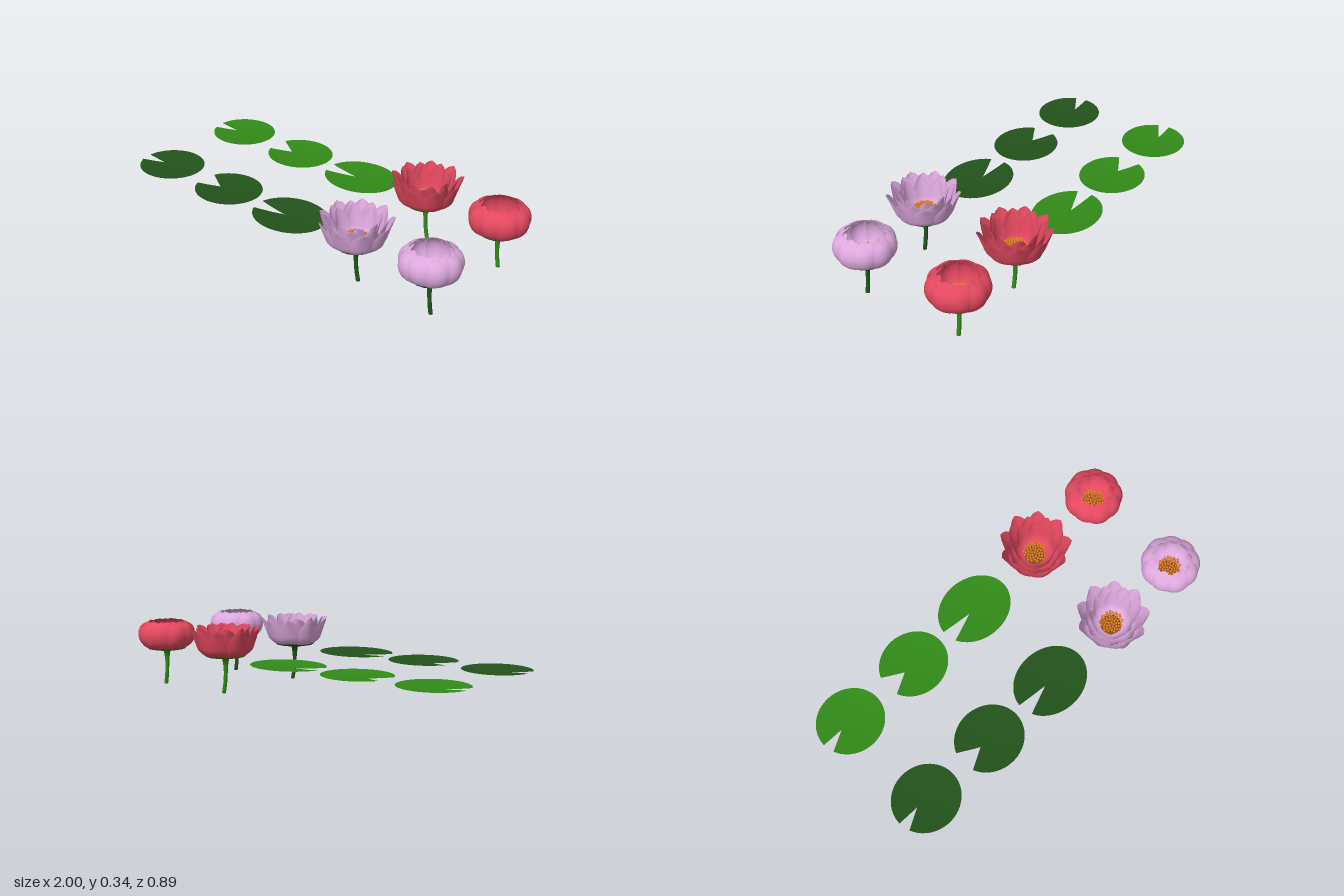
import * as THREE from 'three';

const mat = (color, double) => {
  const m = new THREE.MeshStandardMaterial({ color });
  if (double) m.side = THREE.DoubleSide;
  return m;
};

// Smooth surface from a rule f(s, t) -> [x, y, z], with s and t in 0..1
function surface(ns, nt, f) {
  const pos = [], idx = [];
  for (let j = 0; j <= nt; j++)
    for (let i = 0; i <= ns; i++) pos.push(...f(i / ns, j / nt));
  for (let j = 0; j < nt; j++)
    for (let i = 0; i < ns; i++) {
      const a = j * (ns + 1) + i, b = a + 1, c = a + ns + 1, d = c + 1;
      idx.push(a, c, b, b, c, d);
    }
  const g = new THREE.BufferGeometry();
  g.setAttribute('position', new THREE.Float32BufferAttribute(pos, 3));
  g.setIndex(idx);
  g.computeVertexNormals();
  return g;
}

function add(parent, name, geometry, material) {
  const m = new THREE.Mesh(geometry, material);
  m.name = name;
  parent.add(m);
  return m;
}

// Shallow dished leaf; the notch opens toward -x between angles lo and hi
function padGeometry({ rx, rz, tip, lo, hi }) {
  return surface(64, 10, (s, t) => {
    const a = hi + s * (Math.PI * 2 + lo - hi);
    const x = THREE.MathUtils.lerp(tip, -rx * Math.cos(a), t);
    const z = rz * Math.sin(a) * t;
    const d2 = (x / rx) ** 2 + (z / rz) ** 2;
    return [x, 0.178 + 0.01 * d2, z];
  });
}

// Petal along a radius/height profile, cupped around the flower's axis
function petalGeometry(profile, halfWidth, scaleR, scaleY) {
  const curve = new THREE.SplineCurve(profile.map(([r, y]) => new THREE.Vector2(r * scaleR, y * scaleY)));
  return surface(8, 14, (s, t) => {
    const u = s * 2 - 1, p = curve.getPoint(t);
    const w = halfWidth * Math.min(1, 0.35 + 1.1 * t) * Math.pow(1 - t ** 4, 0.75);
    const cup = 0.35 * w * u * u * Math.min(1, t * 2);
    return [u * w, p.y + cup * 0.12, p.x - cup];
  });
}

const openProfile = [[0.02, 0], [0.09, 0.004], [0.135, 0.03], [0.154, 0.075], [0.168, 0.115], [0.183, 0.152]];
const closedProfile = [[0.02, 0], [0.09, 0.004], [0.134, 0.03], [0.15, 0.078], [0.137, 0.125], [0.1, 0.149]];

// Rings: petal count, half width, radius scale, height scale, lift
const openRings = [
  [9, 0.064, 1, 0.96, 0],
  [9, 0.056, 0.84, 0.98, 0.002],
  [8, 0.047, 0.66, 0.97, 0.004],
];
const closedRings = [
  [9, 0.06, 1, 0.95, 0],
  [9, 0.053, 0.9, 0.98, 0.001],
  [9, 0.044, 0.78, 0.97, 0.003],
];

function flower(name, profile, rings, petalMat, greenMat, bend) {
  const g = new THREE.Group();
  g.name = name;

  // Curved stem and its flared top
  const path = new THREE.CatmullRomCurve3([
    new THREE.Vector3(bend, 0, 0), new THREE.Vector3(bend * 0.35, 0.05, 0),
    new THREE.Vector3(0, 0.11, 0), new THREE.Vector3(0, 0.18, 0),
  ]);
  add(g, 'stem', new THREE.TubeGeometry(path, 16, 0.01, 10), greenMat);
  const base = new THREE.CircleGeometry(0.01, 10).rotateX(Math.PI / 2).translate(bend, 0.001, 0);
  add(g, 'stemEnd', base, greenMat);
  const flare = [[0.0095, 0.1], [0.012, 0.14], [0.017, 0.175], [0.05, 0.181], [0.098, 0.19], [0.108, 0.2]];
  add(g, 'calyx', new THREE.LatheGeometry(flare.map(p => new THREE.Vector2(...p)), 18), greenMat);

  // Overlapping rings of petals
  rings.forEach(([n, w, sr, sy, lift], k) => {
    const geo = petalGeometry(profile, w, sr, sy);
    for (let i = 0; i < n; i++) {
      const petal = add(g, 'petal', geo, petalMat);
      petal.position.y = 0.188 + lift + 0.003 * (i % 2);
      petal.rotation.y = ((i + k * 0.5) / n) * Math.PI * 2 + Math.PI / 2;
      petal.scale.setScalar(i % 2 ? 0.985 : 1);
    }
  });

  // Domed heart covered in stamens
  const heart = add(g, 'heart', new THREE.SphereGeometry(1, 20, 10, 0, Math.PI * 2, 0, Math.PI / 2), mat(0x8a4a14));
  heart.scale.set(0.052, 0.04, 0.052);
  heart.position.y = 0.192;
  const stamenMat = mat(0xe07f22);
  const headGeo = new THREE.SphereGeometry(0.0062, 8, 6);
  const stalkGeo = new THREE.CylinderGeometry(0.002, 0.002, 0.03, 5);
  const count = 56;
  for (let i = 0; i < count; i++) {
    const a = i * 2.39996, r = 0.058 * Math.sqrt((i + 0.5) / count);
    const y = 0.25 - 5 * r * r;
    add(g, 'stamenHead', headGeo, stamenMat).position.set(r * Math.cos(a), y, r * Math.sin(a));
    add(g, 'stamenStalk', stalkGeo, stamenMat).position.set(r * Math.cos(a), y - 0.015, r * Math.sin(a));
  }
  return g;
}

export function createModel() {
  const model = new THREE.Group();
  model.name = 'waterLilies';
  const pads = [
    { x: -0.828, rx: 0.172, rz: 0.162, tip: -0.06, lo: 0.0, hi: 0.36 },
    { x: -0.411, rx: 0.177, rz: 0.162, tip: -0.06, lo: -0.37, hi: 0.36 },
    { x: 0.005, rx: 0.198, rz: 0.162, tip: -0.035, lo: -0.1, hi: 0.36 },
  ];
  // Two matching rows in different colours
  const rows = [
    { name: 'backRow', z: -0.27, green: 0x328a18, petal: 0xe2485f },
    { name: 'frontRow', z: 0.264, green: 0x22521a, petal: 0xdda8dd },
  ];
  for (const row of rows) {
    const g = new THREE.Group();
    g.name = row.name;
    g.position.z = row.z;
    const green = mat(row.green, true), petal = mat(row.petal, true);
    for (const p of pads)
      add(g, 'lilyPad', padGeometry(p), green).position.set(p.x, 0, -0.007);
    const open = flower('openFlower', openProfile, openRings, petal, green, 0.015);
    open.position.x = 0.425;
    const closed = flower('closedFlower', closedProfile, closedRings, petal, green, 0.012);
    closed.position.x = 0.848;
    g.add(open, closed);
    model.add(g);
  }
  return model;
}
